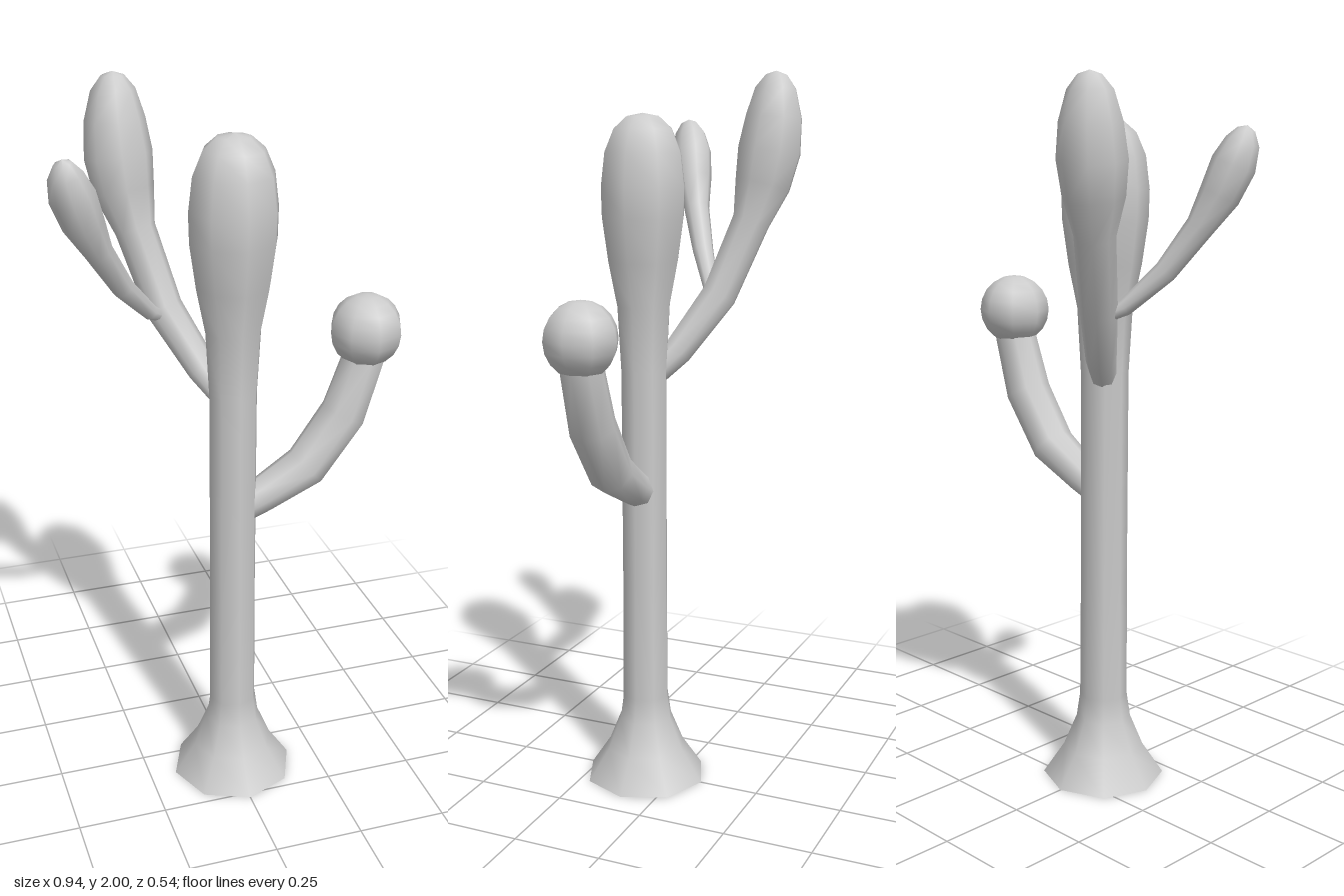
import * as THREE from 'three';

const SIDES = 8;
const material = new THREE.MeshStandardMaterial({ color: 0xcccccc, side: THREE.DoubleSide });

function addMesh(group, name, geometry) {
  const mesh = new THREE.Mesh(geometry, material);
  mesh.name = name;
  group.add(mesh);
  return mesh;
}

// Sweeps an eight-sided ring along stations of [x, y, z, radius].
function limbGeometry(stations) {
  const centres = stations.map(([x, y, z]) => new THREE.Vector3(x, y, z));
  const last = centres.length - 1;
  const along = centres[last].clone().sub(centres[0]);
  const side = new THREE.Vector3(along.z, 0, -along.x).normalize();
  const positions = [];
  const index = [];
  centres.forEach((centre, i) => {
    const tangent = centres[Math.min(i + 1, last)].clone()
      .sub(centres[Math.max(i - 1, 0)]).normalize();
    const b = tangent.clone().cross(side).normalize();
    for (let j = 0; j < SIDES; j++) {
      const angle = (j / SIDES) * Math.PI * 2;
      const p = centre.clone()
        .addScaledVector(side, Math.cos(angle) * stations[i][3])
        .addScaledVector(b, Math.sin(angle) * stations[i][3]);
      positions.push(p.x, p.y, p.z);
      if (i < last) {
        const k = (j + 1) % SIDES;
        const lo = i * SIDES;
        const hi = lo + SIDES;
        index.push(lo + j, lo + k, hi + k, lo + j, hi + k, hi + j);
      }
    }
  });
  const geometry = new THREE.BufferGeometry();
  geometry.setAttribute('position', new THREE.Float32BufferAttribute(positions, 3));
  geometry.setIndex(index);
  geometry.computeVertexNormals();
  return geometry;
}

export function createModel() {
  const group = new THREE.Group();
  group.name = 'cactusTree';

  // Trunk: flared open foot, straight stem, swollen rounded head
  const profile = [
    [0.175, 0], [0.115, 0.09], [0.078, 0.18], [0.068, 0.25], [0.066, 0.6],
    [0.066, 1.2], [0.076, 1.38], [0.1, 1.5], [0.117, 1.62], [0.119, 1.7],
    [0.108, 1.79], [0.082, 1.85], [0.045, 1.882], [0, 1.89],
  ].map(([r, y]) => new THREE.Vector2(r, y));
  addMesh(group, 'trunk', new THREE.LatheGeometry(profile, SIDES)).position.z = 0.095;

  // Left arm with a ball on its end
  addMesh(group, 'leftArm', limbGeometry([
    [0.02, 0.86, 0.095, 0.046], [0.08, 0.888, 0.095, 0.05], [0.21, 0.96, 0.095, 0.062],
    [0.315, 1.105, 0.095, 0.064], [0.372, 1.275, 0.095, 0.058], [0.375, 1.34, 0.095, 0.05],
  ]));
  const ball = addMesh(group, 'leftArmBall', new THREE.SphereGeometry(0.1, SIDES, 10));
  ball.position.set(0.372, 1.34, 0.095);

  // Rear arm, leaning back and right, with a bulb at the tip
  addMesh(group, 'rearArm', limbGeometry([
    [-0.02, 1.19, 0.07, 0.035], [-0.06, 1.25, 0.02, 0.042], [-0.14, 1.4, -0.07, 0.05],
    [-0.195, 1.6, -0.14, 0.054], [-0.216, 1.7, -0.165, 0.08], [-0.225, 1.79, -0.18, 0.09],
    [-0.23, 1.88, -0.19, 0.08], [-0.231, 1.955, -0.193, 0.058],
    [-0.231, 1.99, -0.195, 0.03], [-0.231, 2, -0.195, 0],
  ]));

  // Twig growing forward from the rear arm, with a small bulb
  addMesh(group, 'twig', limbGeometry([
    [-0.14, 1.38, -0.06, 0.015], [-0.19, 1.41, -0.025, 0.022], [-0.275, 1.505, 0.035, 0.03],
    [-0.345, 1.62, 0.085, 0.037], [-0.385, 1.7, 0.112, 0.053], [-0.413, 1.775, 0.13, 0.058],
    [-0.43, 1.83, 0.142, 0.044], [-0.436, 1.86, 0.148, 0.023], [-0.438, 1.87, 0.15, 0],
  ]));

  return group;
}
